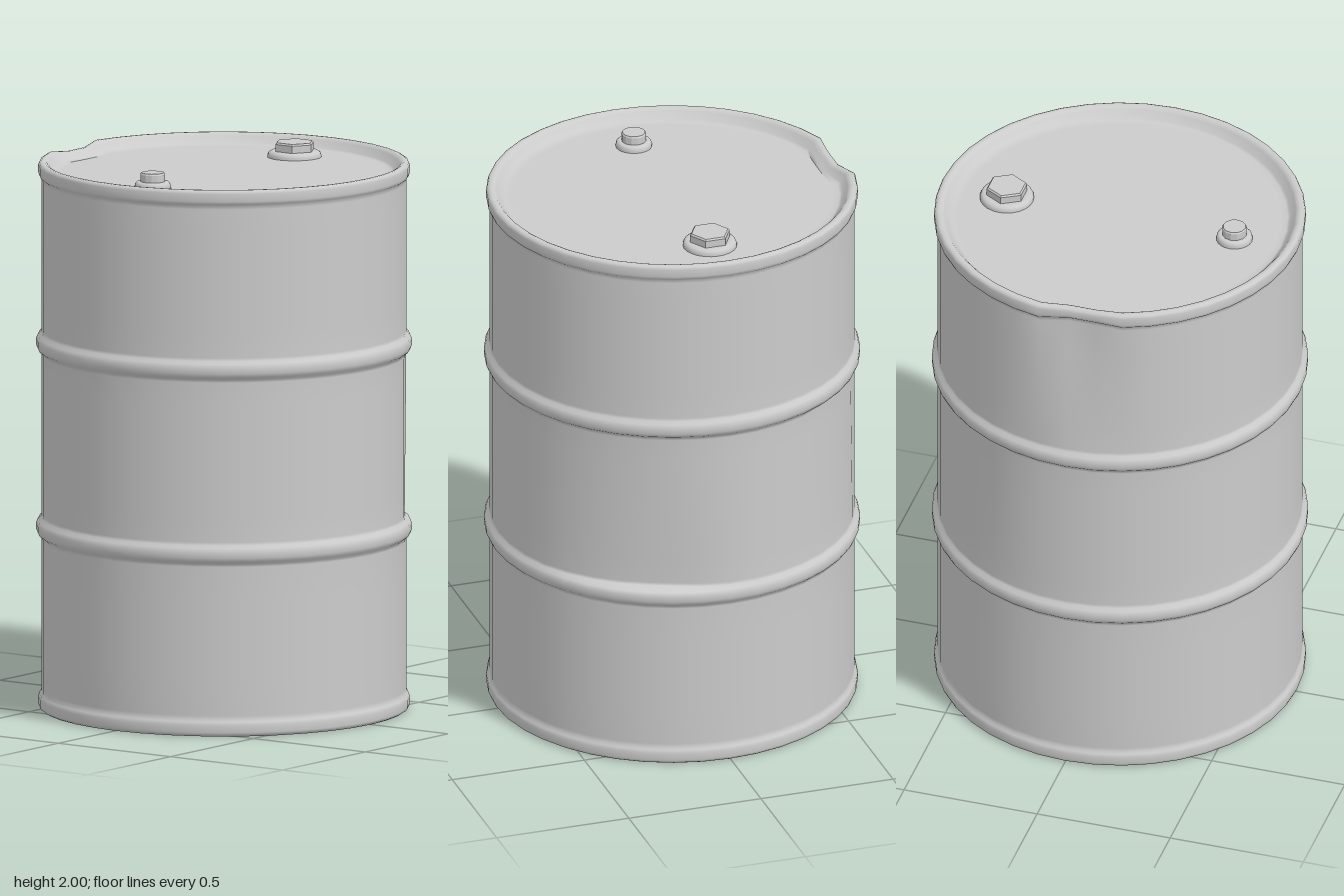
import * as THREE from 'three';
import { mergeVertices, toCreasedNormals } from 'three/addons/utils/BufferGeometryUtils.js';

const material = new THREE.MeshStandardMaterial({ color: 0xcccccc });
const SIDES = 40;
const LID_Y = 1.945;

// Lathe with its seam welded so it shades smoothly all the way round
function weldedLathe(points, sides) {
  const g = new THREE.LatheGeometry(points.map(([r, y]) => new THREE.Vector2(r, y)), sides);
  g.deleteAttribute('uv');
  g.deleteAttribute('normal');
  const welded = mergeVertices(g, 1e-5);
  welded.computeVertexNormals();
  return welded;
}

// 0 at a, 1 at peak, 0 at b, straight in between
function ramp(v, a, peak, b) {
  if (v <= a || v >= b) return 0;
  return v < peak ? (v - a) / (peak - a) : (b - v) / (b - peak);
}

// Rolled rib around the wall
const rib = (y) => [
  [0.655, y - 0.045], [0.658, y - 0.034], [0.669, y - 0.024], [0.675, y - 0.01],
  [0.675, y + 0.01], [0.669, y + 0.024], [0.658, y + 0.034], [0.655, y + 0.045],
];

// Plain wall between two heights, with rows for the dents to bend
function wall(y0, y1, rows) {
  return Array.from({ length: rows }, (_, i) => [0.655, y0 + ((y1 - y0) * (i + 1)) / (rows + 1)]);
}

function drumBody() {
  const profile = [
    // recessed base and bottom rim
    [0, 0.02], [0.58, 0.02], [0.605, 0.02], [0.612, 0.016], [0.632, 0.002], [0.642, 0],
    [0.655, 0], [0.663, 0.005], [0.667, 0.015], [0.667, 0.04], [0.663, 0.053], [0.655, 0.06], [0.655, 0.075],
    ...wall(0.075, 0.615, 3), ...rib(0.66),
    ...wall(0.705, 1.285, 6), ...rib(1.33),
    ...wall(1.375, 1.915, 5),
    // top rim and recessed lid
    [0.655, 1.915], [0.655, 1.927], [0.663, 1.934], [0.667, 1.945], [0.667, 1.972], [0.663, 1.981], [0.655, 1.985],
    [0.645, 1.985], [0.636, 1.981], [0.63, 1.974], [0.612, 1.951], [0.602, LID_Y], [0.58, LID_Y], [0, LID_Y],
  ];
  const g = weldedLathe(profile, SIDES);
  const p = g.attributes.position;

  for (let i = 0; i < p.count; i++) {
    let x = p.getX(i), y = p.getY(i), z = p.getZ(i);
    const r = Math.hypot(x, z);
    if (r < 0.59) continue;
    const angle = (THREE.MathUtils.radToDeg(Math.atan2(x, z)) + 360) % 360;

    // dents in the middle band: one at the front left, a slight one at the back left
    if (y > 0.69 && y < 1.3) {
      const front = 0.032 * ramp(angle, 27, 68, 93) * (1 - 0.85 * (y - 0.69) / 0.61);
      const back = 0.016 * ramp(angle, 117, 144, 162) * ((y - 0.69) / 0.61);
      const k = (r - front - back) / r;
      x *= k;
      z *= k;
    }
    // knocked-in rim at the back, fading down to the upper rib
    if (y > 1.38 && angle > 175 && angle < 193) {
      const depth = angle < 184 ? 0.035 : 0.027;
      const fade = Math.min(1, (y - 1.38) / 0.5);
      z += depth * fade;
      if (y > LID_Y + 0.01) y -= 0.01;
    }
    p.setXYZ(i, x, y, z);
  }
  g.computeVertexNormals();
  return new THREE.Mesh(g, material);
}

// Screw plug: rounded flange with a faceted head
function plug(name, x, flangeRadius, headRadius, headSides) {
  const group = new THREE.Group();
  group.name = name;
  group.position.set(x, LID_Y, 0);

  const f = flangeRadius;
  const flange = new THREE.Mesh(weldedLathe([
    [f, -0.005], [f, 0.008], [f * 0.96, 0.017], [f * 0.88, 0.022], [f * 0.78, 0.023], [0, 0.023],
  ], 24), material);
  flange.name = name + 'Flange';

  const headShape = new THREE.LatheGeometry([
    [headRadius * 1.04, 0.015], [headRadius * 1.04, 0.049], [headRadius * 0.96, 0.055], [0, 0.055],
  ].map(([r, y]) => new THREE.Vector2(r, y)), headSides);
  const head = new THREE.Mesh(toCreasedNormals(headShape, 0.4), material);
  head.name = name + 'Head';

  group.add(flange, head);
  return group;
}

export function createModel() {
  const model = new THREE.Group();
  model.name = 'drum';

  const body = drumBody();
  body.name = 'drumBody';
  model.add(body);

  model.add(plug('largePlug', 0.425, 0.097, 0.072, 6));
  model.add(plug('smallPlug', -0.43, 0.065, 0.043, 12));
  return model;
}
